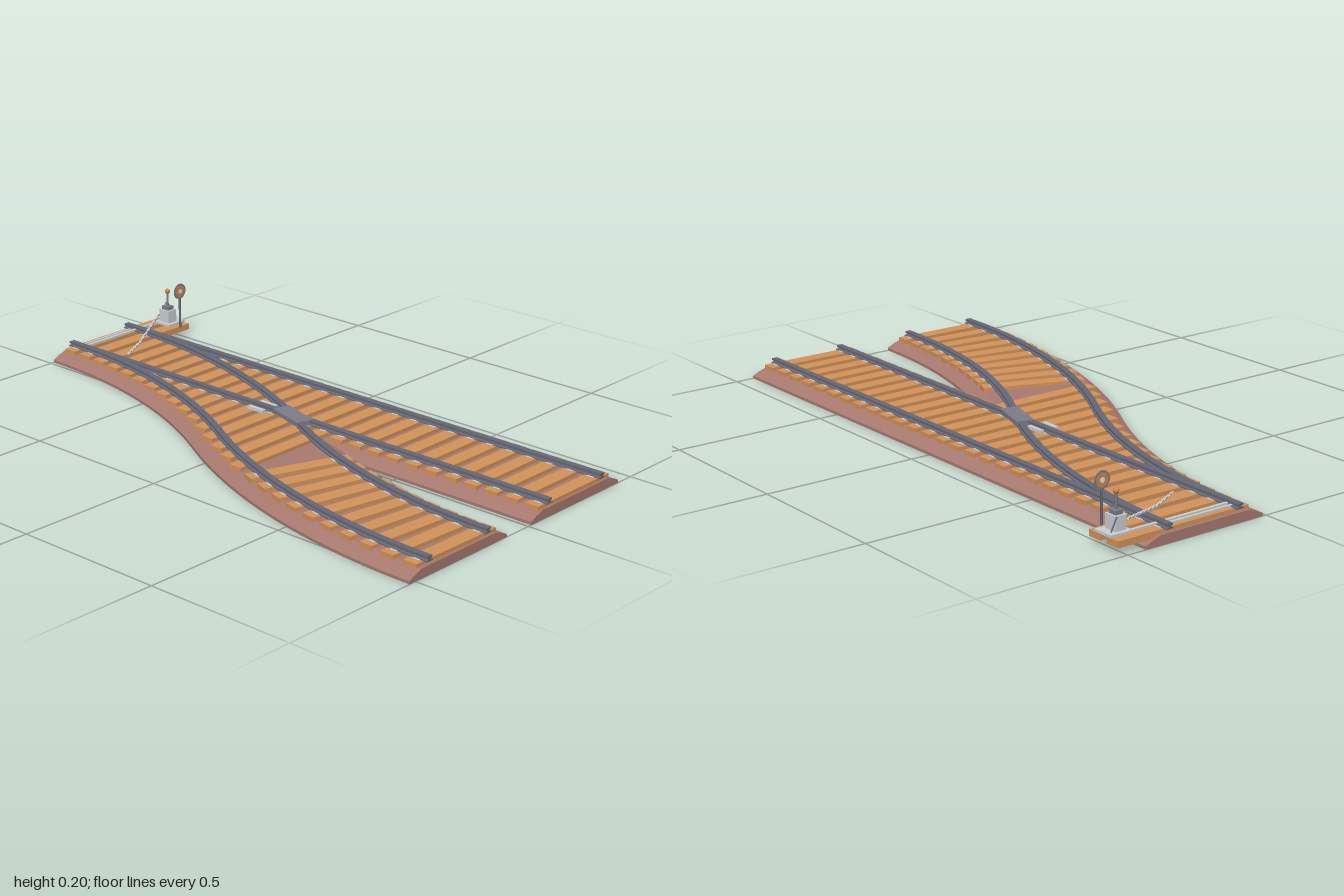
import * as THREE from 'three';

const mat = (name, color) => {
  const m = new THREE.MeshStandardMaterial({ color });
  m.name = name;
  return m;
};

// S-shaped centre line of the diverging track: two equal arcs
const Z0 = -0.225, Z1 = 0.3125, ZM = (Z0 + Z1) / 2;
const THETA = 2 * Math.atan((Z1 - Z0) / 2), R = 1 / Math.sin(THETA);
const HALF_GAUGE = 0.128;

// u from 0 to 1 gives a point and heading on each line
function branch(u) {
  const first = u <= 0.5;
  const a = (first ? u : 1 - u) * 2 * THETA;
  const x = -1 + R * Math.sin(a), z = Z0 + R * (1 - Math.cos(a));
  return first ? { x, z, a } : { x: -x, z: 2 * ZM - z, a };
}
const straight = (u) => ({ x: -1 + 2 * u, z: Z0, a: 0 });

const offsetPoint = (p, o) => ({ x: p.x - Math.sin(p.a) * o, z: p.z + Math.cos(p.a) * o, a: p.a });

// Sweeps a counter-clockwise [offset, height] section along a track line
function sweep(line, section, steps) {
  const pos = [];
  const at = (i, k) => {
    const [o, y] = section[k % section.length];
    const p = offsetPoint(line(i / steps), o);
    return [p.x, y, p.z];
  };
  const tri = (...pts) => pts.forEach((p) => pos.push(...p));
  for (let i = 0; i < steps; i++) {
    for (let k = 0; k < section.length; k++) {
      tri(at(i, k), at(i + 1, k), at(i, k + 1));
      tri(at(i + 1, k), at(i + 1, k + 1), at(i, k + 1));
    }
  }
  const flat = section.map(([o, y]) => new THREE.Vector2(o, y));
  for (const [a, b, c] of THREE.ShapeUtils.triangulateShape(flat, [])) {
    tri(at(0, a), at(0, b), at(0, c));
    tri(at(steps, a), at(steps, c), at(steps, b));
  }
  const g = new THREE.BufferGeometry();
  g.setAttribute('position', new THREE.Float32BufferAttribute(pos, 3));
  g.computeVertexNormals();
  return g;
}

export function createModel() {
  const ballast = mat('ballast', 0xa87a70);
  const wood = mat('tieWood', 0xd4935a);
  const steel = mat('railSteel', 0x666876);
  const frogSteel = mat('frogSteel', 0x7c7d8a);
  const pale = mat('paleMetal', 0xccd0d0);
  const orange = mat('targetOrange', 0xcc8850);
  const white = mat('targetWhite', 0xf0f0ec);

  const model = new THREE.Group();
  model.name = 'railwaySwitch';

  const add = (name, geo, material, parent = model) => {
    const m = new THREE.Mesh(geo, material);
    m.name = name;
    parent.add(m);
    return m;
  };
  const box = (name, size, at, material, parent, turn = 0) => {
    const m = add(name, new THREE.BoxGeometry(...size), material, parent);
    m.position.set(...at);
    m.rotation.y = turn;
    return m;
  };
  const rod = (name, from, to, r, material, parent) => {
    const a = new THREE.Vector3(...from), b = new THREE.Vector3(...to);
    const m = add(name, new THREE.CylinderGeometry(r, r, a.distanceTo(b), 8), material, parent);
    m.position.copy(a).add(b).multiplyScalar(0.5);
    m.quaternion.setFromUnitVectors(new THREE.Vector3(0, 1, 0), b.sub(a).normalize());
    return m;
  };

  // Ballast beds with sloped shoulders
  const bed = [[-0.2125, 0], [0.2125, 0], [0.2125, 0.009], [0.19, 0.02], [0.16, 0.03],
    [-0.16, 0.03], [-0.19, 0.02], [-0.2125, 0.009]];
  add('straightBallast', sweep(straight, bed, 1), ballast);
  add('branchBallast', sweep(branch, bed, 48), ballast);

  // Rails: foot, web and head
  const railSection = (c) => [[-0.013, 0.040], [0.013, 0.040], [0.013, 0.043], [0.004, 0.045],
    [0.004, 0.049], [0.010, 0.050], [0.010, 0.056], [-0.010, 0.056], [-0.010, 0.050],
    [-0.004, 0.049], [-0.004, 0.045], [-0.013, 0.043]].map(([o, y]) => [o + c, y]);
  for (const side of [-1, 1]) {
    const s = railSection(side * HALF_GAUGE);
    add('straightRail', sweep(straight, s, 1), steel);
    add('branchRail', sweep(branch, s, 48), steel);
  }

  const ties = new THREE.Group();
  ties.name = 'ties';
  model.add(ties);
  const TIE_W = 0.047, TIE_H = 0.02, TIE_Y = 0.031;
  // Small pale plates where a rail crosses a tie
  const tiePlates = (p) => {
    for (const side of [-1, 1]) {
      const q = offsetPoint(p, side * HALF_GAUGE);
      box('tiePlate', [0.024, 0.002, 0.038], [q.x, 0.0415, q.z], pale, ties, -q.a);
    }
  };
  // Ties square to the straight track; long ones carry both tracks
  const edge = Array.from({ length: 201 }, (_, i) => offsetPoint(branch(i / 200), 0.168));
  for (let i = 0; i < 27; i++) {
    const x = -0.965 + i * 0.0744;
    const back = i < 2 ? -0.525 : -0.395;
    const reach = edge.find((p) => p.x >= x) || edge[200];
    const front = x < 0.19 ? reach.z : -0.055;
    box('tie', [TIE_W, TIE_H, front - back], [x, TIE_Y, (front + back) / 2], wood, ties);
    tiePlates({ x, z: Z0, a: 0 });
  }
  // Ties turning with the diverging track
  for (let i = 0; i < 10; i++) {
    const p = branch(1 - (0.033 + i * 0.0765) / (2 * THETA * R));
    box('branchTie', [TIE_W, TIE_H, 0.34], [p.x, TIE_Y, p.z], wood, ties, -p.a);
    tiePlates(p);
  }

  // Crossing frog with short check pieces beside it
  box('frog', [0.145, 0.014, 0.058], [0.015, 0.05, -0.093], frogSteel, model, -0.29);
  for (const z of [-0.122, -0.066]) {
    box('checkPiece', [0.065, 0.01, 0.014], [-0.115, 0.047, z], pale);
  }

  // Throw rods linking the stand to the points
  box('throwRod', [0.01, 0.006, 0.36], [-0.95, 0.044, -0.28], pale);
  box('pointRod', [0.008, 0.006, 0.24], [-0.968, 0.043, -0.22], pale);

  // Hanging chain made of alternating links
  const chain = new THREE.Group();
  chain.name = 'chain';
  model.add(chain);
  for (let i = 0; i < 22; i++) {
    const t = (i + 0.5) / 22;
    box('chainLink', [i % 2 ? 0.009 : 0.005, i % 2 ? 0.004 : 0.007, 0.016],
      [-0.94 + 0.15 * t, 0.075 - 0.032 * Math.min(1, t * 1.6), -0.45 + 0.29 * t], pale, chain, 0.48);
  }

  // Switch stand with weighted lever and round target
  const stand = new THREE.Group();
  stand.name = 'switchStand';
  model.add(stand);
  box('standBase', [0.07, 0.008, 0.075], [-0.925, 0.045, -0.488], pale, stand);
  box('standBody', [0.045, 0.045, 0.038], [-0.925, 0.07, -0.48], pale, stand);
  box('standCap', [0.03, 0.014, 0.026], [-0.925, 0.098, -0.48], frogSteel, stand);
  rod('leverPost', [-0.925, 0.1, -0.48], [-0.925, 0.15, -0.48], 0.004, frogSteel, stand);
  const knob = add('leverKnob', new THREE.SphereGeometry(0.009, 12, 8), orange, stand);
  knob.position.set(-0.925, 0.157, -0.48);
  rod('handle', [-0.965, 0.1, -0.51], [-0.965, 0.06, -0.53], 0.002, steel, stand);

  rod('targetPole', [-0.865, 0.04, -0.48], [-0.865, 0.147, -0.48], 0.004, steel, stand);
  const disc = (name, r, t, material) => {
    const m = add(name, new THREE.CylinderGeometry(r, r, t, 24), material, stand);
    m.rotation.z = Math.PI / 2;
    m.position.set(-0.865, 0.17, -0.48);
  };
  disc('targetRim', 0.027, 0.003, frogSteel);
  disc('targetDisc', 0.021, 0.005, orange);
  disc('targetCentre', 0.008, 0.007, white);

  return model;
}
